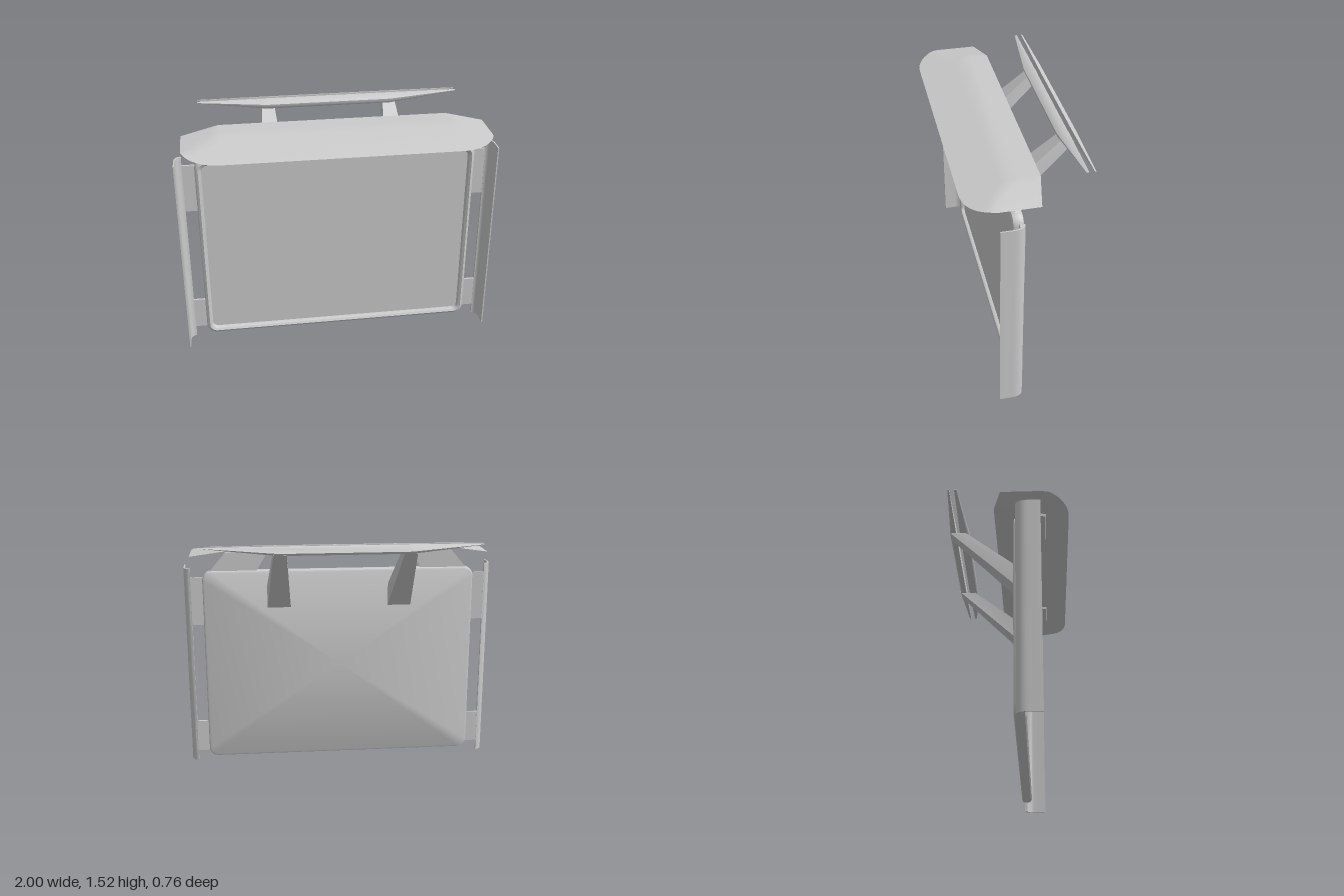
import * as THREE from 'three';
import { toCreasedNormals } from 'three/addons/utils/BufferGeometryUtils.js';

const solid = new THREE.MeshStandardMaterial({ color: 0xcccccc });
const sheet = new THREE.MeshStandardMaterial({ color: 0xcccccc, side: THREE.DoubleSide });

function add(parent, name, geometry, material = solid) {
  const mesh = new THREE.Mesh(geometry, material);
  mesh.name = name;
  parent.add(mesh);
  return mesh;
}

// Skin over matching closed loops, capped at both ends.
// Loops run counter-clockwise as seen from the far end.
function loft(loops, crease = 0.6) {
  const n = loops[0].length, pos = [], idx = [];
  loops.forEach(l => l.forEach(p => pos.push(...p)));
  for (let s = 0; s < loops.length - 1; s++) {
    for (let i = 0; i < n; i++) {
      const a = s * n + i, b = s * n + (i + 1) % n;
      idx.push(a, b, b + n, a, b + n, a + n);
    }
  }
  const cap = (loop, start, flip) => {
    const c = pos.length / 3;
    pos.push(...[0, 1, 2].map(k => loop.reduce((sum, p) => sum + p[k], 0) / n));
    for (let i = 0; i < n; i++) {
      const a = start + i, b = start + (i + 1) % n;
      if (flip) idx.push(c, b, a); else idx.push(c, a, b);
    }
  };
  cap(loops[0], 0, true);
  cap(loops[loops.length - 1], (loops.length - 1) * n, false);
  const g = new THREE.BufferGeometry();
  g.setAttribute('position', new THREE.Float32BufferAttribute(pos, 3));
  g.setIndex(idx);
  return toCreasedNormals(g, crease);
}

// Rounded rectangle loop in the xy plane
function roundedLoop(w, h, r, cy, z) {
  const pts = [];
  for (let c = 0; c < 4; c++) {
    const sx = c === 0 || c === 3 ? 1 : -1, sy = c < 2 ? 1 : -1;
    for (let k = 0; k <= 6; k++) {
      const a = (c + k / 6) * Math.PI / 2;
      pts.push([sx * (w - r) + r * Math.cos(a), cy + sy * (h - r) + r * Math.sin(a), z]);
    }
  }
  return pts;
}

// Curved canopy: slopes down to the front, droops at both ends
function visorGeometry() {
  const zs = [-0.08, -0.055, -0.03, 0.03, 0.09, 0.15, 0.2];
  for (let k = 1; k <= 10; k++) zs.push(0.2 + 0.18 * Math.sin(k / 10 * Math.PI / 2));
  const halfWidth = z => z < -0.03 ? 0.72 + 0.23 * (z + 0.08) / 0.05
    : z < 0.2 ? 0.95
    : 0.72 + 0.23 * Math.sqrt(Math.max(0, 1 - ((z - 0.2) / 0.18) ** 2));
  const side = [0, 0.25, 0.5, 0.75, 1], cols = 2 * side.length;
  const pos = [], idx = [];
  for (const z of zs) {
    const hw = halfWidth(z);
    const right = side.map(t => 0.72 + (hw - 0.72) * t);
    const xs = [...right.map(x => -x).reverse(), ...right];
    for (const x of xs) {
      const slope = z < 0.09 ? 1.45 : 1.45 - 0.063 * (z - 0.09) / 0.29;
      const droop = 1.45 - 0.04 * Math.max(0, Math.abs(x) - 0.72) / 0.23;
      pos.push(x, Math.min(slope, droop), z);
    }
  }
  for (let r = 0; r < zs.length - 1; r++) {
    for (let c = 0; c < cols - 1; c++) {
      const a = r * cols + c, b = a + cols;
      idx.push(a, b, b + 1, a, b + 1, a + 1);
    }
  }
  const g = new THREE.BufferGeometry();
  g.setAttribute('position', new THREE.Float32BufferAttribute(pos, 3));
  g.setIndex(idx);
  g.computeVertexNormals();
  return g;
}

// Wing blade tapering to a thin raised tip at each end
function bladeGeometry(section, tipZ) {
  const at = (x, tip) => section.map(([z, y]) => tip
    ? [x, 1.519 + (y - 1.52) * 0.12, tipZ + (z - tipZ) * 0.25]
    : [x, y, z]);
  return loft([at(-0.84, true), at(-0.4, false), at(0.4, false), at(0.84, true)], 0.7);
}

export function createModel() {
  const model = new THREE.Group();
  model.name = 'panelWithCanopyAndWing';

  // Flat panel with a rounded raised rim: [inset, z] from back to front
  const rim = [[0.016, 0.045], [0.005, 0.05], [0, 0.062], [0, 0.092], [0.006, 0.107],
    [0.02, 0.115], [0.034, 0.107], [0.04, 0.094], [0.04, 0.084]];
  add(model, 'panel', loft(rim.map(([d, z]) =>
    roundedLoop(0.88 - d, 0.635 - d, 0.06 - d * 0.6, 0.664, z))));

  // Canopy over the front
  add(model, 'canopy', visorGeometry(), sheet);

  // Split rear wing
  add(model, 'wingFrontBlade', bladeGeometry([[-0.257, 1.497], [-0.259, 1.48], [-0.268, 1.468],
    [-0.316, 1.468], [-0.316, 1.52], [-0.285, 1.518]], -0.315));
  add(model, 'wingRearBlade', bladeGeometry([[-0.341, 1.52], [-0.341, 1.468], [-0.374, 1.468],
    [-0.382, 1.482], [-0.366, 1.514]], -0.348));

  for (const s of [1, -1]) {
    const half = new THREE.Group();
    half.name = s > 0 ? 'leftSide' : 'rightSide';
    half.scale.x = s;
    model.add(half);

    // Curved side fender, extruded upward from its plan section
    const plan = new THREE.Shape();
    plan.moveTo(1, -0.208);
    plan.lineTo(1, -0.13);
    plan.bezierCurveTo(1, -0.09, 0.985, -0.065, 0.955, -0.06);
    plan.lineTo(0.955, -0.078);
    plan.bezierCurveTo(0.975, -0.08, 0.992, -0.1, 0.992, -0.13);
    plan.lineTo(0.992, -0.208);
    const fender = new THREE.ExtrudeGeometry(plan, { depth: 1.315, bevelEnabled: false, curveSegments: 8 });
    fender.rotateX(-Math.PI / 2);
    add(half, 'sideFender', toCreasedNormals(fender, 0.6));

    // Brackets joining the fender to the panel
    for (const [y0, y1] of [[0.07, 0.28], [0.945, 1.258]]) {
      const bracket = add(half, 'fenderBracket', new THREE.BoxGeometry(0.1, y1 - y0, 0.014));
      bracket.position.set(0.915, (y0 + y1) / 2, 0.069);
    }

    // Canopy support: upright plate with a flange running forward below the canopy
    const plate = new THREE.Shape([[0.54, 1.285], [0.84, 1.285], [0.73, 1.415], [0.46, 1.415]]
      .map(p => new THREE.Vector2(...p)));
    const plateMesh = add(half, 'canopySupport',
      new THREE.ExtrudeGeometry(plate, { depth: 0.03, bevelEnabled: false }));
    plateMesh.position.z = 0.06;
    const flange = add(half, 'canopySupportFlange', new THREE.BoxGeometry(0.26, 0.018, 0.17));
    flange.position.set(0.597, 1.402, 0.155);
    flange.rotation.x = 0.12;

    // Tapered arm carrying the wing
    const cx = 0.392;
    add(half, 'wingArm', loft([
      [[cx + 0.076, 1.05, 0.05], [cx - 0.076, 1.05, 0.05], [cx - 0.076, 1.195, 0.05], [cx + 0.076, 1.195, 0.05]],
      [[cx + 0.04, 1.47, -0.378], [cx - 0.04, 1.47, -0.378], [cx - 0.04, 1.475, -0.285], [cx + 0.04, 1.475, -0.285]],
    ]));
  }
  return model;
}
